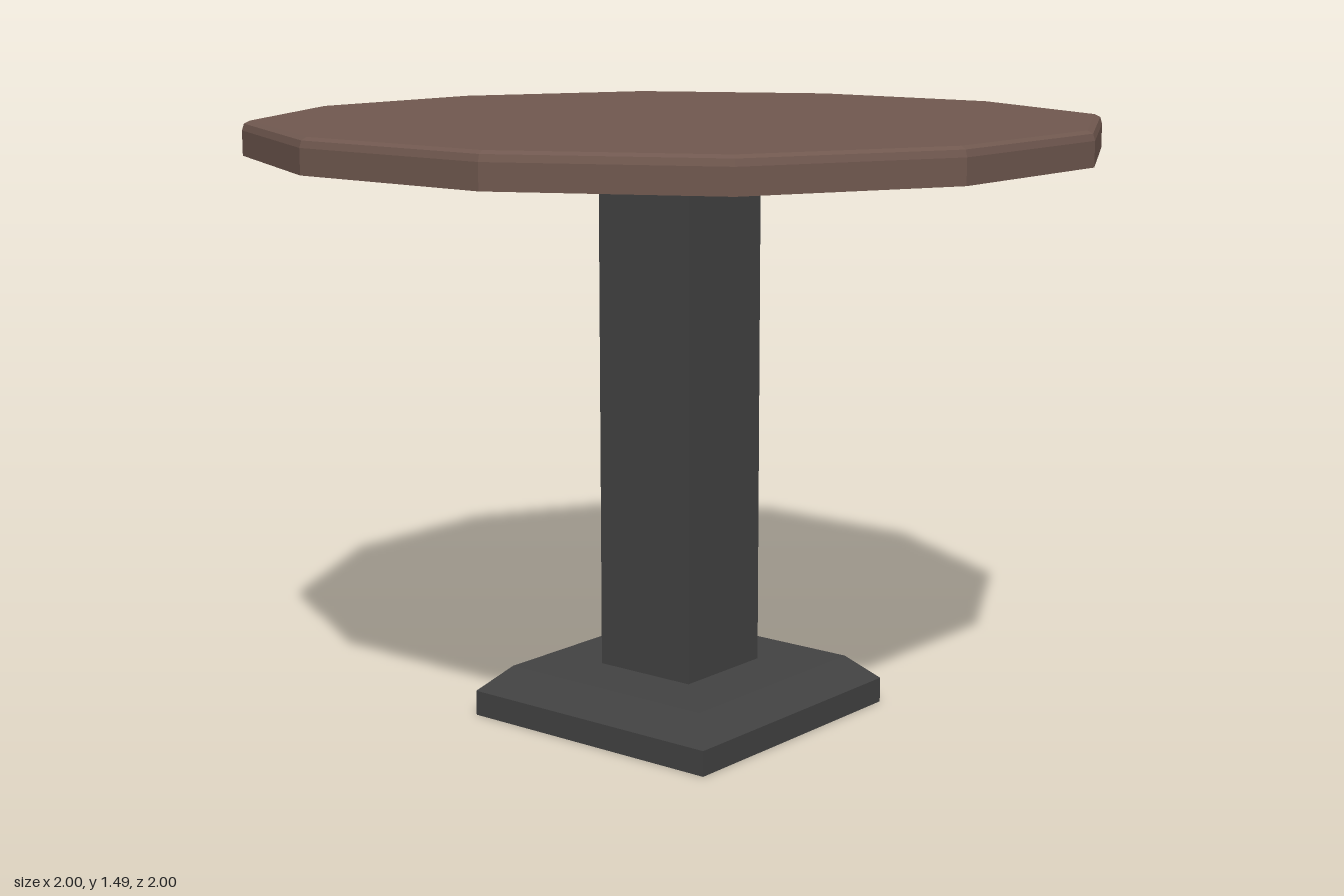
import * as THREE from 'three';

// Four-sided symmetric outline: repeats the corner points of one quarter turn.
function quarterOutline(points) {
  const outline = [];
  for (let q = 0; q < 4; q++) {
    for (const [x, z] of points) {
      const c = [[x, z], [-z, x], [-x, -z], [z, -x]][q];
      outline.push(c);
    }
  }
  return outline;
}

// Closed solid through scaled copies of an outline; levels are [scale, y], bottom to top.
function loft(outline, levels) {
  const positions = [];
  const n = outline.length;
  const at = (level, i) => {
    const [s, y] = level;
    const [x, z] = outline[i % n];
    return [x * s, y, z * s];
  };
  const bottom = levels[0];
  const top = levels[levels.length - 1];
  for (let i = 0; i < n; i++) {
    for (let k = 0; k < levels.length - 1; k++) {
      const a = at(levels[k], i), b = at(levels[k + 1], i);
      const c = at(levels[k + 1], i + 1), d = at(levels[k], i + 1);
      positions.push(...a, ...b, ...c, ...a, ...c, ...d);
    }
    positions.push(0, top[1], 0, ...at(top, i + 1), ...at(top, i));
    positions.push(0, bottom[1], 0, ...at(bottom, i), ...at(bottom, i + 1));
  }
  const geometry = new THREE.BufferGeometry();
  geometry.setAttribute('position', new THREE.Float32BufferAttribute(positions, 3));
  geometry.computeVertexNormals();
  return geometry;
}

export function createModel() {
  const wood = new THREE.MeshStandardMaterial({ color: 0x70584f });
  wood.name = 'brown wood';
  const metal = new THREE.MeshStandardMaterial({ color: 0x424242 });
  metal.name = 'dark grey metal';

  const table = new THREE.Group();
  table.name = 'pedestalTable';
  const add = (name, geometry, material) => {
    const mesh = new THREE.Mesh(geometry, material);
    mesh.name = name;
    table.add(mesh);
  };

  // Twelve-sided top with a softened upper rim
  const topOutline = quarterOutline([[0.986, 0.268], [0.74, 0.74], [0.268, 0.986]]);
  add('tableTop', loft(topOutline, [[1, 1.41], [1, 1.47], [0.995, 1.486], [0.982, 1.493]]), wood);

  // Square column
  add('column', loft(quarterOutline([[0.14, 0.14]]), [[1, 0.12], [1, 1.41]]), metal);

  // Square foot with a chamfered upper edge
  add('foot', loft(quarterOutline([[0.364, 0.364]]), [[1, 0], [1, 0.063], [0.82, 0.125]]), metal);

  // The whole table stands slightly turned
  table.rotation.y = -THREE.MathUtils.degToRad(3.5);

  const model = new THREE.Group();
  model.name = 'table';
  model.add(table);
  return model;
}
